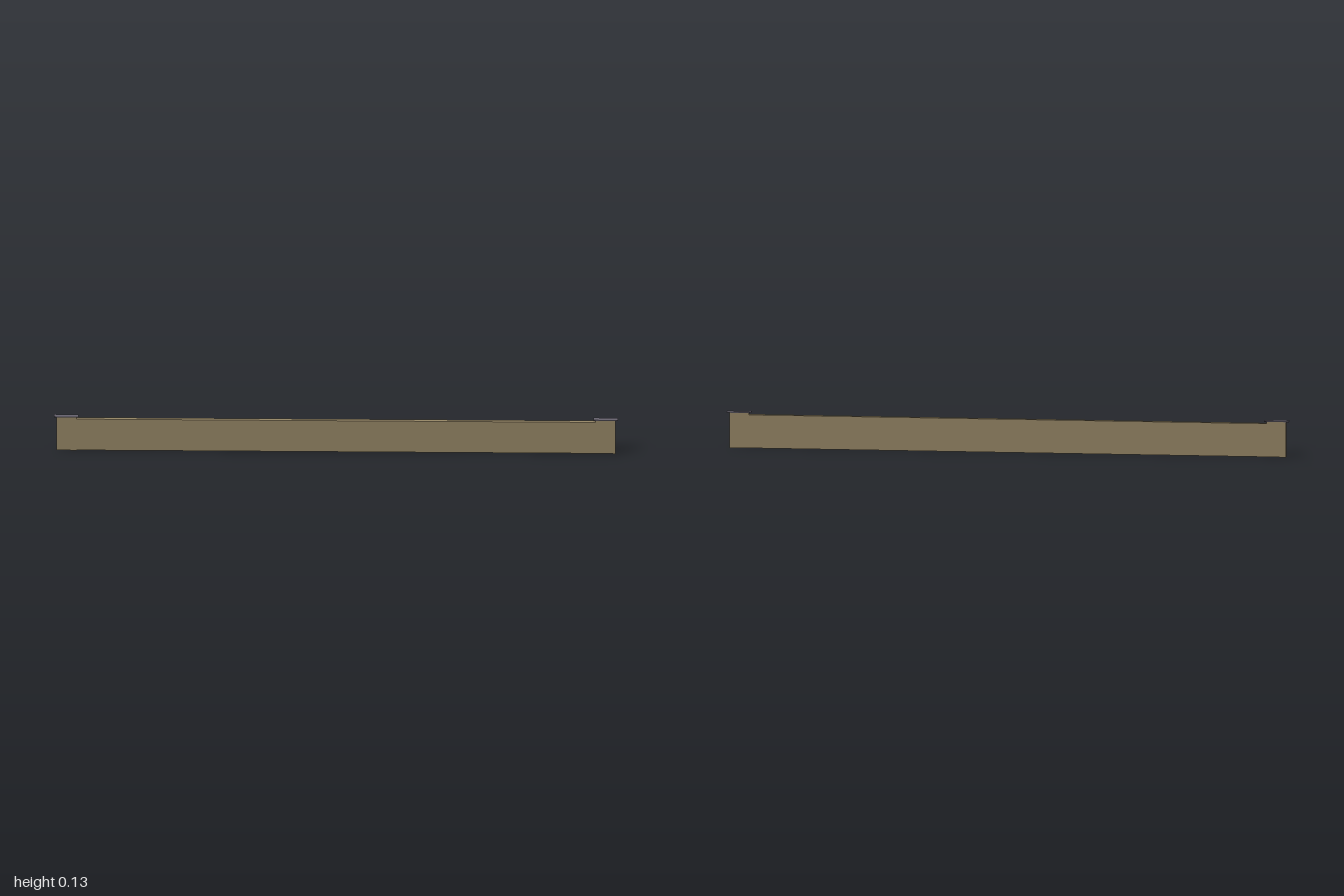
import * as THREE from 'three';

export function createModel() {
  const model = new THREE.Group();
  const stone = new THREE.MeshStandardMaterial({ color: 0x978766 });
  stone.name = 'tan stone';
  const slate = new THREE.MeshStandardMaterial({ color: 0x67636f });
  slate.name = 'slate grey';

  // Box given by its centre in x, its base height and its size
  function box(name, material, x, y, w, h, d) {
    const mesh = new THREE.Mesh(new THREE.BoxGeometry(w, h, d), material);
    mesh.name = name;
    mesh.position.set(x, y + h / 2, 0);
    model.add(mesh);
  }

  // Long wall between the posts, slightly thinner than them
  box('wallPanel', stone, 0, 0, 1.84, 0.12, 0.015);

  // End posts with thin overhanging caps
  for (const side of [-1, 1]) {
    const label = side > 0 ? 'left' : 'right';
    box(label + 'Post', stone, side * 0.955, 0, 0.07, 0.127, 0.019);
    box(label + 'PostCap', slate, side * 0.956, 0.127, 0.088, 0.003, 0.022);
  }
  return model;
}
